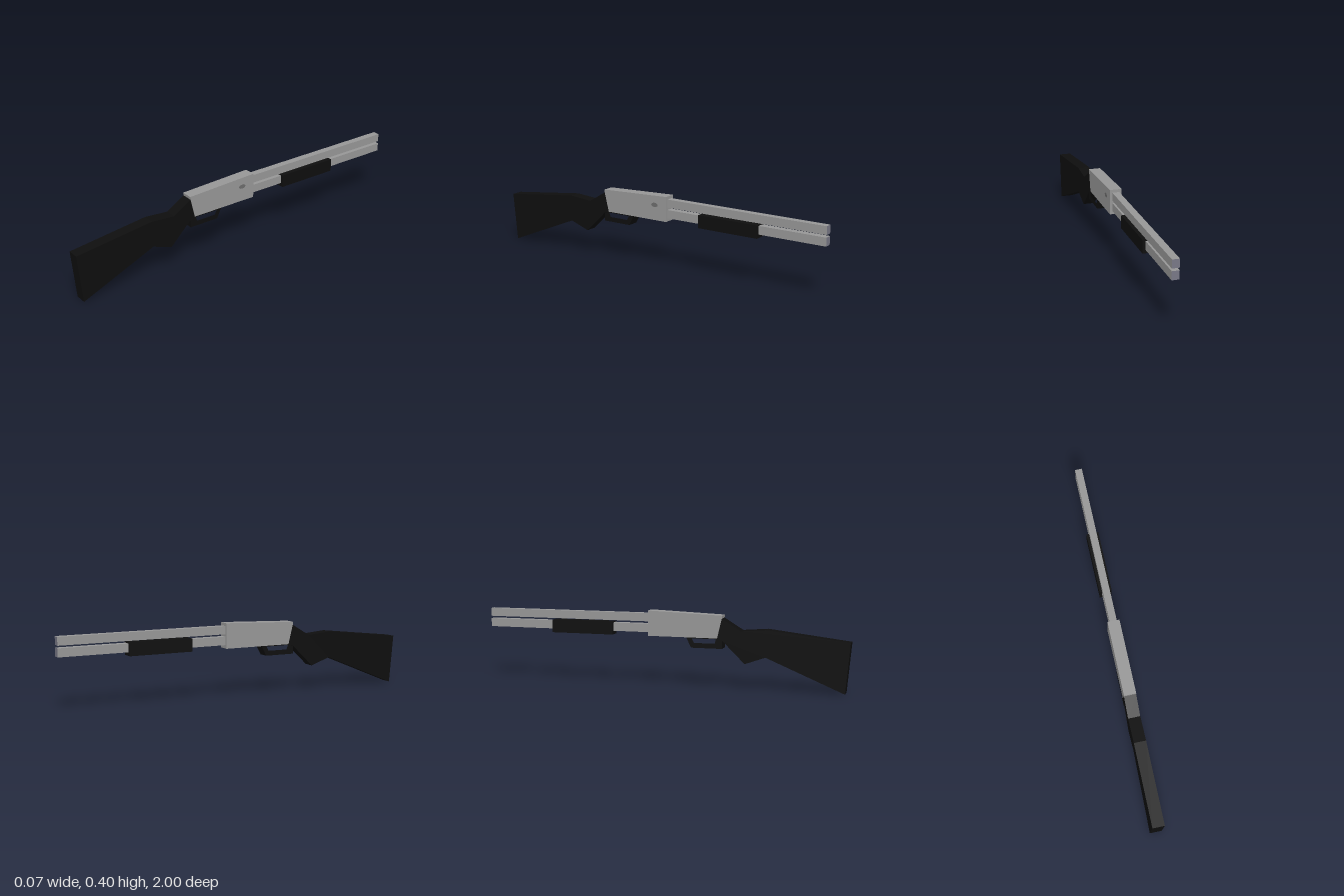
import * as THREE from 'three';

const mat = (name, color) => {
  const m = new THREE.MeshStandardMaterial({ color });
  m.name = name;
  return m;
};

export function createModel() {
  const model = new THREE.Group();
  const metal = mat('grey metal', 0x969696);
  const shade = mat('blued metal', 0x777785);
  const black = mat('black grip', 0x0e0e0e);
  const dark = mat('dark metal', 0x6c6c6c);

  const add = (name, geometry, material) => {
    const mesh = new THREE.Mesh(geometry, material);
    mesh.name = name;
    model.add(mesh);
    return mesh;
  };

  // Side outline given as [z, y] points, extruded across x and centred
  const slab = (name, points, width, material, hole) => {
    const toVec = (p) => new THREE.Vector2(p[0], p[1]);
    const shape = new THREE.Shape(points.map(toVec));
    if (hole) shape.holes.push(new THREE.Path(hole.map(toVec)));
    const g = new THREE.ExtrudeGeometry(shape, { depth: width, bevelEnabled: false });
    g.translate(0, 0, -width / 2);
    g.rotateY(-Math.PI / 2);
    return add(name, g, material);
  };

  // Box between two heights and two depths
  const bar = (name, width, y0, y1, z0, z1, material) => {
    const g = new THREE.BoxGeometry(width, y1 - y0, z1 - z0);
    g.translate(0, (y0 + y1) / 2, (z0 + z1) / 2);
    return add(name, g, material);
  };

  // Angled shoulder stock with grip
  slab('stock', [
    [1, 0.265], [0.565, 0.316], [0.43, 0.305], [0.328, 0.367],
    [0.304, 0.262], [0.33, 0.252], [0.452, 0.133], [0.562, 0.172], [0.976, 0],
  ], 0.064, black);

  // Receiver with sloping top and raked rear
  slab('receiver', [
    [0.33, 0.383], [-0.077, 0.398], [-0.077, 0.262], [0.302, 0.262], [0.328, 0.367],
  ], 0.064, metal);

  // Trigger guard loop
  slab('triggerGuard', [
    [0.305, 0.262], [0.33, 0.25], [0.33, 0.208], [0.163, 0.208], [0.135, 0.262],
  ], 0.064, black, [
    [0.298, 0.258], [0.29, 0.234], [0.178, 0.234], [0.165, 0.258],
  ]);

  // Barrel and magazine tube, blued below and at the muzzle
  const barrelFaces = [metal, metal, metal, shade, metal, shade];
  bar('barrel', 0.038, 0.338, 0.382, -1, -0.07, barrelFaces);
  bar('magazineTube', 0.038, 0.28, 0.325, -1, -0.07, barrelFaces);

  // Sliding forend
  bar('forend', 0.066, 0.261, 0.33, -0.627, -0.277, black);

  // Small oval pin on the side of the receiver
  const oval = new THREE.CircleGeometry(1, 12);
  oval.scale(0.021, 0.012, 1);
  oval.rotateY(Math.PI / 2);
  oval.translate(0.0325, 0.345, -0.003);
  add('receiverPin', oval, dark);

  return model;
}
